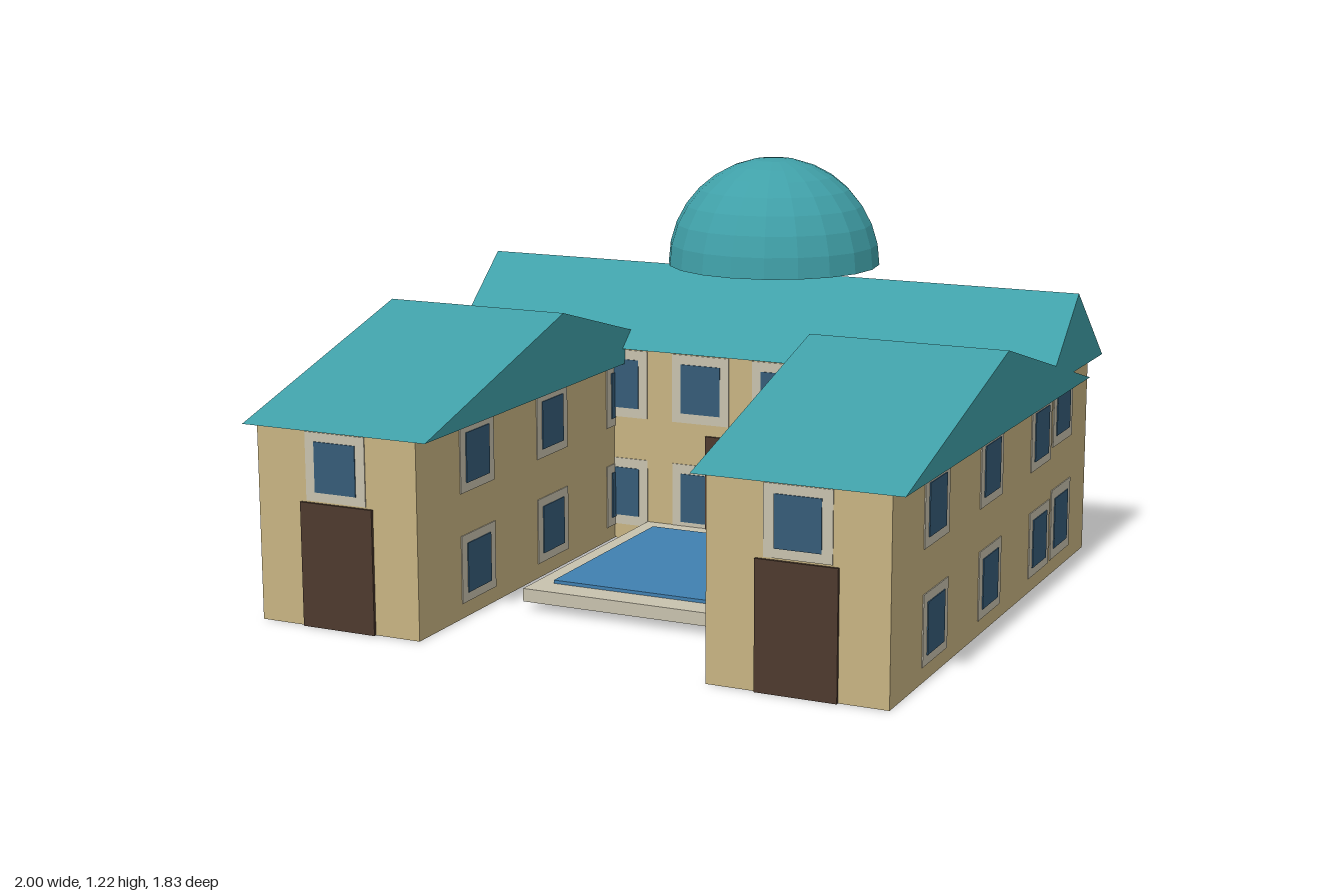
import * as THREE from 'three';

const paint = (name, color) => {
  const m = new THREE.MeshStandardMaterial({ color, flatShading: true });
  m.name = name;
  return m;
};

export function createModel() {
  const wall = paint('sandstone', 0xc8b482);
  const roof = paint('teal roof', 0x40a0a8);
  const trim = paint('pale stone', 0xc8c2ae);
  const glass = paint('blue glass', 0x365c78);
  const wood = paint('dark wood', 0x4d3a2e);
  const water = paint('pool water', 0x4080b0);

  const model = new THREE.Group();
  model.name = 'courtyardMansion';

  const add = (name, geometry, material, parent = model) => {
    const mesh = new THREE.Mesh(geometry, material);
    mesh.name = name;
    parent.add(mesh);
    return mesh;
  };

  // Box given by its extents
  const block = (name, material, x0, x1, y0, y1, z0, z1) =>
    add(name, new THREE.BoxGeometry(x1 - x0, y1 - y0, z1 - z0), material)
      .position.set((x0 + x1) / 2, (y0 + y1) / 2, (z0 + z1) / 2);

  // Gable prism with its ridge along x
  const gable = (name, x0, x1, yEave, yRidge, z0, z1) => {
    const s = new THREE.Shape();
    s.moveTo(-z1, yEave);
    s.lineTo(-z0, yEave);
    s.lineTo(-(z0 + z1) / 2, yRidge);
    s.closePath();
    const g = new THREE.ExtrudeGeometry(s, { depth: x1 - x0, bevelEnabled: false });
    g.rotateY(Math.PI / 2).translate(x0, 0, 0);
    add(name, g, roof);
  };

  // Thin framed window; turn is the facing angle about y
  const windowAt = (x, y, z, turn, paneH, frameH) => {
    const g = new THREE.Group();
    g.name = 'window';
    add('windowFrame', new THREE.BoxGeometry(0.195, frameH, 0.006), trim, g);
    add('windowPane', new THREE.BoxGeometry(0.134, paneH, 0.006), glass, g).position.z = 0.003;
    g.position.set(x, y, z);
    g.rotation.y = turn;
    model.add(g);
  };

  const door = (x, z) =>
    add('door', new THREE.BoxGeometry(0.235, 0.365, 0.018), wood).position.set(x, 0.1825, z);

  // Main block across the back
  block('mainWalls', wall, -0.96, 0.96, 0, 0.625, -0.84, -0.325);
  gable('mainRoof', -1, 1, 0.625, 0.86, -0.86, -0.305);
  door(0, -0.325);
  for (const y of [0.157, 0.51]) {
    for (const x of [-0.42, -0.137, 0.137, 0.42]) windowAt(x, y, -0.325, 0, 0.157, 0.218);
    for (const s of [-1, 1]) windowAt(s * 0.96, y, -0.58, s * Math.PI / 2, 0.157, 0.218);
  }

  // Two side wings reaching forward
  for (const s of [-1, 1]) {
    const side = s > 0 ? 'left' : 'right';
    const [x0, x1] = s > 0 ? [0.44, 0.96] : [-0.96, -0.44];
    block(side + 'WingWalls', wall, x0, x1, 0, 0.575, -0.72, 0.897);
    gable(side + 'WingRoof', x0 - 0.04, x1 + 0.04, 0.575, 0.805, -0.73, 0.913);
    door(s * 0.7, 0.897);
    windowAt(s * 0.702, 0.47, 0.897, 0, 0.147, 0.2);
    for (const y of [0.145, 0.47]) {
      for (const z of [0.56, 0.1, -0.365]) {
        windowAt(s * 0.96, y, z, s * Math.PI / 2, 0.147, 0.2);
        windowAt(s * 0.44, y, z, -s * Math.PI / 2, 0.147, 0.2);
      }
    }
  }

  // Dome floating just above the main ridge, closed underneath
  const R = 0.335;
  add('dome', new THREE.SphereGeometry(R, 20, 8, 0, Math.PI * 2, 0, Math.PI / 2), roof)
    .position.set(0, 0.888, -0.581);
  const cap = add('domeUnderside', new THREE.CircleGeometry(R, 20), roof);
  cap.rotation.x = Math.PI / 2;
  cap.position.set(0, 0.888, -0.581);

  // Courtyard pool
  block('poolBase', trim, -0.323, 0.323, 0.026, 0.065, -0.325, 0.507);
  block('poolWater', water, -0.266, 0.266, 0.06, 0.075, -0.245, 0.423);

  return model;
}
